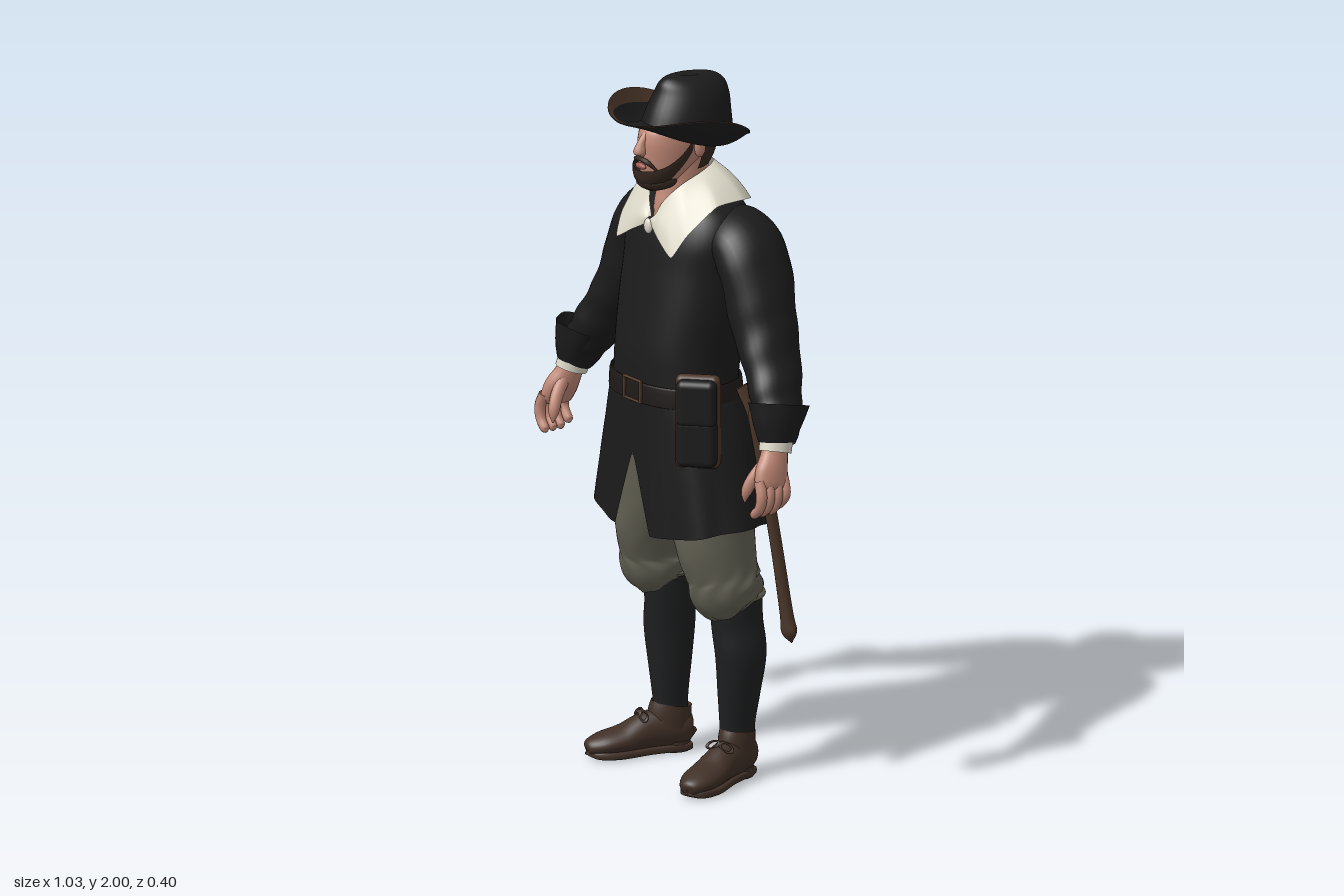
import * as THREE from 'three';
import { RoundedBoxGeometry } from 'three/addons/geometries/RoundedBoxGeometry.js';

const V3 = (x, y, z) => new THREE.Vector3(x, y, z);
const { sin, cos, abs, max, PI } = Math;

function material(name, color) {
  const m = new THREE.MeshStandardMaterial({ color, side: THREE.DoubleSide });
  m.name = name;
  return m;
}

// Smooth surface from a rule (u across, v along)
function grid(nu, nv, fn, closed = false) {
  const cols = closed ? nu : nu + 1, pos = [], idx = [];
  for (let j = 0; j <= nv; j++)
    for (let i = 0; i < cols; i++) pos.push(...fn(i / nu, j / nv).toArray());
  for (let j = 0; j < nv; j++)
    for (let i = 0; i < nu; i++) {
      const a = j * cols + i, b = j * cols + (i + 1) % cols;
      idx.push(a, a + cols, b, b, a + cols, b + cols);
    }
  const g = new THREE.BufferGeometry();
  g.setAttribute('position', new THREE.Float32BufferAttribute(pos, 3));
  g.setIndex(idx);
  g.computeVertexNormals();
  return g;
}

// Rounded cross-sections [x, y, z, halfWidth, halfDepth] joined along a smooth path
function sweep(keys, { n = 28, m = 7, flat = false, p = 2, ref = V3(1, 0, 0), fold = () => 1 } = {}) {
  const path = new THREE.CatmullRomCurve3(keys.map(k => V3(k[0], k[1], k[2])), false, 'catmullrom');
  const size = new THREE.CatmullRomCurve3(keys.map(k => V3(k[3], k[4], 0)), false, 'catmullrom');
  const pw = c => Math.sign(c) * abs(c) ** (2 / p);
  return grid(n, (keys.length - 1) * m, (u, v) => {
    const t = u * 2 * PI, c = path.getPoint(v), s = size.getPoint(v), f = fold(t, v);
    const T = flat ? V3(0, 1, 0) : path.getTangent(v);
    const U = ref.clone().addScaledVector(T, -T.dot(ref)).normalize();
    const W = U.clone().cross(T);
    return c.addScaledVector(U, max(s.x, 0.001) * pw(cos(t)) * f).addScaledVector(W, max(s.y, 0.001) * pw(sin(t)) * f);
  }, true);
}

// Flat section given as height, half width, front z and back z
const section = (y, a, zf, zb) => [0, y, (zf + zb) / 2, a, (zf - zb) / 2];

function mirror(g) {
  const m = g.clone().scale(-1, 1, 1), ix = m.index.array;
  for (let i = 0; i < ix.length; i += 3) [ix[i], ix[i + 1]] = [ix[i + 1], ix[i]];
  m.computeVertexNormals();
  return m;
}

export function createModel() {
  const root = new THREE.Group();
  const coat = material('black wool', 0x1b1b1b);
  const knit = material('stocking black', 0x1e1f20);
  const skin = material('skin', 0xbd8674);
  const hair = material('dark hair', 0x35271f);
  const linen = material('cream linen', 0xdcd8c8);
  const olive = material('olive grey cloth', 0x626053);
  const shoe = material('shoe leather', 0x403027);
  const leather = material('brown leather', 0x4a3528);
  const strap = material('belt leather', 0x1f1a18);
  const lip = material('lips', 0x9a5850);

  const add = (name, geo, mat, parent = root) => {
    const m = new THREE.Mesh(geo, mat);
    m.name = name;
    parent.add(m);
  };
  const pair = (name, geo, mat) => {
    add('left' + name, geo, mat);
    add('right' + name, mirror(geo), mat);
  };
  const ball = (name, x, y, z, a, b, c, mat) =>
    add(name, new THREE.SphereGeometry(1, 16, 12).scale(a, b, c).translate(x, y, z), mat);

  // Coat body
  add('coatBody', sweep([
    section(1.08, 0.193, 0.158, -0.14), section(1.16, 0.185, 0.156, -0.137), section(1.25, 0.185, 0.152, -0.155),
    section(1.36, 0.195, 0.135, -0.182), section(1.47, 0.2, 0.115, -0.198), section(1.56, 0.205, 0.096, -0.187),
    section(1.63, 0.175, 0.068, -0.162), section(1.68, 0.105, 0.04, -0.135), section(1.72, 0.05, 0.02, -0.095),
  ], { flat: true, p: 2.4, n: 48 }), coat);

  // Coat skirt panels, slit at front and back
  pair('CoatSkirt', grid(36, 18, (u, v) => {
    const t0 = 0.19 * max(0, (v - 0.45) / 0.55), t1 = PI - 0.04 * max(0, (v - 0.6) / 0.4);
    const t = t0 + (t1 - t0) * u, c = cos(t), s = max(sin(t), 0);
    const a = 0.186 + 0.099 * v ** 0.8, zf = 0.16, zb = -0.14 - 0.037 * Math.min(1, v * 3);
    const f = 1 + 0.022 * v * sin(9 * t);
    return V3(a * s ** 0.8 * f, 1.13 - (0.368 + 0.04 * c * c) * v,
      (zf + zb) / 2 + (zf - zb) / 2 * Math.sign(c) * abs(c) ** 0.8 * f);
  }), coat);

  // Sleeves, turned-back cuffs and linen wristbands
  pair('Sleeve', sweep([
    [0.12, 1.585, -0.07, 0.066, 0.09], [0.2, 1.553, -0.075, 0.078, 0.107], [0.25, 1.475, -0.075, 0.08, 0.108],
    [0.29, 1.36, -0.067, 0.084, 0.098], [0.345, 1.26, -0.053, 0.068, 0.09], [0.395, 1.18, -0.03, 0.062, 0.08],
    [0.43, 1.12, -0.01, 0.055, 0.07], [0.453, 1.065, 0.01, 0.045, 0.056],
  ], { fold: (t, v) => 1 + 0.035 * sin(v * 40 + 2 * sin(t)) * v }), coat);
  pair('Cuff', sweep([
    [0.452, 1.066, 0.01, 0.044, 0.055], [0.443, 1.115, 0.002, 0.058, 0.074], [0.432, 1.165, -0.01, 0.076, 0.088],
  ], { fold: (t, v) => 1 + 0.05 * v * sin(5 * t + 1) }), coat);
  pair('Wristband', sweep([[0.45, 1.075, 0.01, 0.04, 0.05], [0.457, 1.04, 0.02, 0.04, 0.048]]), linen);

  // Hands
  pair('Palm', sweep([
    [0.453, 1.07, 0.015, 0.028, 0.036], [0.462, 1.025, 0.028, 0.031, 0.044], [0.474, 0.985, 0.045, 0.03, 0.054],
    [0.484, 0.95, 0.052, 0.022, 0.05], [0.486, 0.94, 0.053, 0.002, 0.02],
  ], { n: 16 }), skin);
  for (let i = 0; i < 4; i++) {
    const z = 0.093 - i * 0.027, d = i === 3 ? 0.012 : 0;
    pair('Finger' + (i + 1), sweep([
      [0.482, 0.975, z, 0.015, 0.016], [0.497, 0.935, z + 0.004, 0.016, 0.016], [0.49, 0.9 + d, z + 0.006, 0.014, 0.015],
      [0.468, 0.877 + d, z + 0.008, 0.012, 0.013], [0.46, 0.873 + d, z + 0.008, 0.001, 0.001],
    ], { n: 10, m: 4 }), skin);
  }
  pair('Thumb', sweep([
    [0.456, 1.02, 0.045, 0.018, 0.02], [0.442, 0.975, 0.082, 0.018, 0.018], [0.432, 0.935, 0.1, 0.015, 0.015],
    [0.43, 0.905, 0.104, 0.002, 0.002],
  ], { n: 10, m: 4 }), skin);

  // Wide linen collar with pointed fronts
  const curve = (pts, tension) => new THREE.CatmullRomCurve3(pts.map(p => V3(...p)), false, 'catmullrom', tension);
  const inner = curve([[0.005, 1.61, 0.09], [0.03, 1.66, 0.078], [0.057, 1.705, 0.04],
    [0.064, 1.735, -0.03], [0.048, 1.75, -0.08], [0, 1.755, -0.1]], 0.5);
  const outer = curve([[0.006, 1.595, 0.104], [0.06, 1.565, 0.118], [0.122, 1.53, 0.122], [0.145, 1.59, 0.085],
    [0.17, 1.664, 0], [0.162, 1.664, -0.1], [0.1, 1.64, -0.172], [0, 1.625, -0.188]], 0.25);
  pair('Collar', grid(48, 8, (u, v) => {
    const p = inner.getPoint(u).lerp(outer.getPoint(u), v), b = 0.007 * sin(PI * v);
    return p.add(V3(b * 0.5 * sin(PI * u), b, b * cos(PI * u)));
  }), linen);
  ball('collarTassel', 0, 1.588, 0.106, 0.016, 0.022, 0.01, linen);

  // Neck and head
  add('neck', sweep([[0, 1.58, -0.01, 0.05, 0.09], [0, 1.64, -0.01, 0.055, 0.087], [0, 1.7, -0.015, 0.06, 0.078],
    [0, 1.8, -0.01, 0.06, 0.07]], { flat: true }), skin);
  add('head', sweep([[0, 1.703, 0.06, 0.005, 0.005], [0, 1.71, 0.06, 0.035, 0.045], [0, 1.745, 0.048, 0.06, 0.075],
    [0, 1.79, 0.022, 0.075, 0.106], [0, 1.84, 0.01, 0.081, 0.116], [0, 1.875, -0.004, 0.08, 0.111],
    [0, 1.9, -0.03, 0.06, 0.075]], { flat: true, n: 32 }), skin);
  add('nose', sweep([[0, 1.793, 0.125, 0.006, 0.006], [0, 1.805, 0.135, 0.016, 0.019], [0, 1.83, 0.128, 0.012, 0.016],
    [0, 1.86, 0.112, 0.009, 0.01]], { flat: true, n: 14 }), skin);
  for (const s of [1, -1]) ball(s > 0 ? 'leftEar' : 'rightEar', s * 0.084, 1.815, -0.008, 0.011, 0.03, 0.018, skin);
  ball('mouth', 0, 1.766, 0.132, 0.022, 0.009, 0.009, lip);

  // Beard, moustache and back hair
  const shell = (t0, t1, top, bottom, rx, rz, zc, taper) => grid(32, 10, (u, v) => {
    const t = t0 + (t1 - t0) * u, f = 1 - taper * v ** 3;
    return V3(rx * f * sin(t), top(t) + (bottom(t) - top(t)) * v, zc + rz * f * cos(t));
  });
  add('beard', shell(-1.65, 1.65, t => 1.757 + 0.085 * (abs(t) / 1.65) ** 3, t => 1.688 + 0.085 * (abs(t) / 1.65) ** 1.8,
    0.083, 0.123, 0.022, 0.35), hair);
  ball('beardUnderside', 0, 1.718, 0.075, 0.054, 0.029, 0.062, hair);
  add('moustache', sweep([[-0.046, 1.76, 0.112, 0.003, 0.003], [-0.025, 1.781, 0.128, 0.007, 0.007], [0, 1.786, 0.133, 0.006, 0.007],
    [0.025, 1.781, 0.128, 0.007, 0.007], [0.046, 1.76, 0.112, 0.003, 0.003]], { n: 10, ref: V3(0, 1, 0) }), hair);
  add('backHair', shell(1.72, 2 * PI - 1.72, () => 1.87, () => 1.745, 0.088, 0.12, 0, 0.25), hair);

  // Hat: pinched crown, curled brim and flat trim on its upper edge
  const crown = sweep([[0, 1.85, -0.025, 0.104, 0.14], [0, 1.9, -0.032, 0.097, 0.128], [0, 1.95, -0.042, 0.083, 0.114],
    [0, 1.983, -0.043, 0.06, 0.1], [0, 2.0, -0.04, 0.026, 0.065], [0, 1.993, -0.035, 0.001, 0.001]],
    { flat: true, n: 36, fold: (t, v) => 1 - 0.12 * v * max(0, sin(t)) * abs(cos(t)) });
  const cp = crown.attributes.position;
  for (let i = 0; i < cp.count; i++) cp.setY(i, Math.min(2, cp.getY(i) + 0.09 * (cp.getZ(i) + 0.02)));
  crown.computeVertexNormals();
  add('hatCrown', crown, coat);
  const brim = (t, v) => {
    const s = sin(t), x = s * (0.092 + 0.094 * v), z = -0.025 * (1 - v) + cos(t) * (0.122 + 0.078 * v);
    return V3(x, 1.866 + (0.14 + 0.11 * v) * z + s * s * (0.064 * v * v - 0.042 * sin(PI * v)) - 0.016 * v, z);
  };
  add('hatBrim', grid(64, 10, (u, v) => brim(u * 2 * PI, v), true), coat);
  add('brimTrim', grid(64, 3, (u, v) => brim(u * 2 * PI, 0.83 + 0.17 * v).add(V3(0, 0.003, 0)), true), leather);

  // Breeches gathered into a puff at the knee, and stockings
  pair('Breeches', sweep([
    [0.148, 0.52, -0.08, 0.064, 0.08], [0.15, 0.538, -0.07, 0.08, 0.095], [0.153, 0.567, -0.042, 0.09, 0.106],
    [0.15, 0.605, -0.034, 0.083, 0.106], [0.138, 0.68, -0.022, 0.09, 0.118], [0.118, 0.77, -0.018, 0.104, 0.12],
    [0.1, 0.92, -0.01, 0.11, 0.12],
  ], { n: 48, fold: (t, v) => 1 + 0.05 * (1 - v) ** 2 * sin(9 * t + 3 * sin(v * 14)) }), olive);
  pair('KneeBand', new THREE.TorusGeometry(0.066, 0.01, 8, 32).rotateX(PI / 2).scale(1, 1, 1.2).translate(0.148, 0.53, -0.078), olive);
  pair('Stocking', sweep([
    [0.15, 0.07, -0.09, 0.04, 0.05], [0.15, 0.15, -0.086, 0.04, 0.053], [0.155, 0.25, -0.088, 0.051, 0.064],
    [0.16, 0.36, -0.09, 0.063, 0.075], [0.15, 0.45, -0.085, 0.06, 0.077], [0.148, 0.56, -0.08, 0.063, 0.08],
  ]), knit);

  // Shoes turned slightly outward
  const place = g => g.translate(0, 0, 0.09).rotateY(0.32).translate(0.148, 0, -0.09);
  pair('Shoe', place(sweep([
    [0, 0.06, -0.145, 0.002, 0.002], [0, 0.06, -0.138, 0.034, 0.042], [0, 0.068, -0.09, 0.044, 0.058], [0, 0.064, -0.02, 0.046, 0.054],
    [0, 0.048, 0.05, 0.054, 0.038], [0, 0.04, 0.11, 0.05, 0.03], [0, 0.032, 0.152, 0.028, 0.02], [0, 0.03, 0.16, 0.002, 0.002],
  ])), shoe);
  pair('ShoeOpening', place(sweep([[0, 0.07, -0.08, 0.046, 0.062], [0, 0.11, -0.083, 0.046, 0.062], [0, 0.138, -0.088, 0.045, 0.058]])), shoe);
  pair('Sole', place(sweep([
    [0, 0.012, -0.14, 0.002, 0.002], [0, 0.012, -0.132, 0.032, 0.012], [0, 0.012, -0.02, 0.04, 0.012],
    [0, 0.012, 0.07, 0.055, 0.012], [0, 0.014, 0.13, 0.042, 0.012], [0, 0.016, 0.162, 0.002, 0.002],
  ], { p: 4 })), shoe);
  pair('Heel', place(new THREE.CylinderGeometry(0.035, 0.035, 0.03, 20).scale(1, 1, 1.2).translate(0, 0.015, -0.1)), shoe);
  for (const s of [1, -1])
    pair(s > 0 ? 'OuterLace' : 'InnerLace', place(new THREE.TorusGeometry(0.016, 0.004, 6, 16)
      .scale(1.3, 0.7, 1).rotateX(-0.7).rotateZ(s * -0.35).translate(s * 0.022, 0.112, 0.0)), shoe);

  // Belt, back strap and buckle
  add('belt', sweep([section(1.1, 0.196, 0.166, -0.146), section(1.106, 0.198, 0.168, -0.149), section(1.152, 0.194, 0.166, -0.145),
    section(1.158, 0.19, 0.162, -0.141)], { flat: true, p: 2.4, n: 48, m: 3 }), strap);
  add('beltBackStrap', new RoundedBoxGeometry(0.13, 0.02, 0.008, 2, 0.003).translate(0, 1.13, -0.149), leather);
  const buckle = new THREE.Group();
  buckle.name = 'buckle';
  buckle.position.set(0.01, 1.133, 0.168);
  root.add(buckle);
  for (const s of [1, -1]) {
    add('buckleRail', new RoundedBoxGeometry(0.08, 0.007, 0.01, 2, 0.003).translate(0, s * 0.03, 0), leather, buckle);
    add('buckleSide', new RoundedBoxGeometry(0.008, 0.064, 0.01, 2, 0.003).translate(s * 0.036, 0, 0), leather, buckle);
  }

  // Hip pouch
  const pouch = new THREE.Group();
  pouch.name = 'pouch';
  pouch.position.set(0.207, 1.075, 0.095);
  pouch.rotation.y = 0.75;
  root.add(pouch);
  add('pouchBack', new RoundedBoxGeometry(0.125, 0.268, 0.04, 4, 0.019).translate(0, 0, -0.008), leather, pouch);
  add('pouchFront', new RoundedBoxGeometry(0.112, 0.14, 0.045, 4, 0.02).translate(0, -0.055, 0.012), coat, pouch);
  add('pouchFlap', new RoundedBoxGeometry(0.112, 0.135, 0.045, 4, 0.02).translate(0, 0.058, 0.015), coat, pouch);

  // Scabbard and its hanger
  add('scabbard', sweep([
    [0.222, 1.075, -0.088, 0.002, 0.002], [0.223, 1.068, -0.089, 0.015, 0.02], [0.235, 0.95, -0.102, 0.014, 0.019],
    [0.262, 0.7, -0.132, 0.014, 0.018], [0.28, 0.5, -0.154, 0.019, 0.018], [0.285, 0.44, -0.161, 0.026, 0.019],
    [0.291, 0.408, -0.165, 0.002, 0.002],
  ], { n: 14 }), leather);
  add('hanger', sweep([[0.19, 1.14, -0.07, 0.008, 0.02], [0.21, 1.09, -0.085, 0.008, 0.022], [0.228, 1.03, -0.094, 0.008, 0.022]], { n: 12 }), leather);

  return root;
}
